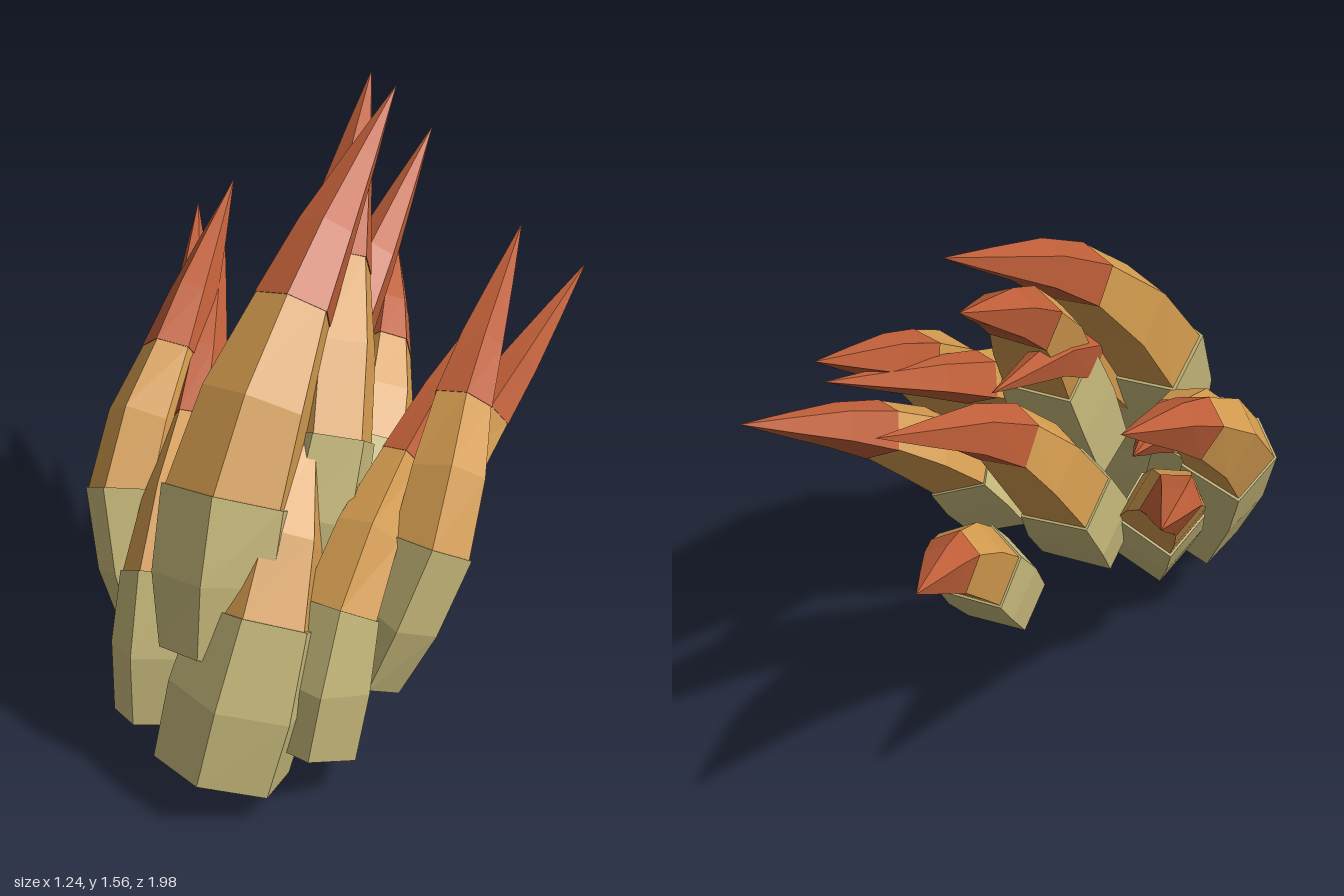
import * as THREE from 'three';

const mat = (name, color) => Object.assign(new THREE.MeshStandardMaterial({ color }), { name });

// Five-sided section with a ridge on the outer side: [across, outward]
const SECTION = [[0.5, 0.2], [0, 0.5], [-0.5, 0.2], [-0.44, -0.5], [0.44, -0.5]];

// Each spike: base, lower joint, upper joint and tip; widths and depths at the first three
const CENTRE = [
  { name: 'crestSpike', pts: [[-0.06, 0.36, 0.7], [-0.07, 0.76, 0.53], [-0.01, 1.17, 0.16], [0.065, 1.545, -0.54]], w: [0.29, 0.35, 0.21], d: [0.27, 0.28, 0.17] },
  { name: 'secondSpike', pts: [[0.07, 0.44, 0.41], [0.11, 0.82, 0.24], [0.02, 1.17, -0.12], [-0.065, 1.5, -0.71]], w: [0.27, 0.25, 0.19], d: [0.25, 0.25, 0.16] },
  { name: 'thirdSpike', pts: [[-0.1, 0.38, 0.06], [-0.1, 0.62, -0.1], [-0.01, 0.89, -0.3], [0.06, 1.23, -0.945]], w: [0.26, 0.24, 0.17], d: [0.24, 0.24, 0.17] },
  { name: 'rearSpike', pts: [[0.06, 0.25, -0.17], [0.07, 0.45, -0.33], [0.03, 0.64, -0.59], [-0.07, 0.82, -1]], w: [0.22, 0.22, 0.14], d: [0.22, 0.22, 0.16] },
  { name: 'frontSpike', pts: [[0, 0.055, 0.83], [0.06, 0.48, 0.67], [0.05, 0.81, 0.33], [-0.1, 1.21, -0.6]], w: [0.36, 0.32, 0.14], d: [0.34, 0.27, 0.15] },
];
const SIDES = [
  { name: 'frontSideSpike', pts: [[0.22, 0.1, 0.69], [0.26, 0.48, 0.56], [0.31, 0.74, 0.17], [0.46, 1.05, -0.5]], w: [0.27, 0.22, 0.12], d: [0.29, 0.23, 0.15] },
  { name: 'middleSideSpike', pts: [[0.325, 0.195, 0.455], [0.45, 0.58, 0.33], [0.44, 0.86, 0.01], [0.45, 1.15, -0.56]], w: [0.18, 0.23, 0.16], d: [0.24, 0.25, 0.16] },
  { name: 'rearSideSpike', pts: [[0.25, 0.3, 0.21], [0.33, 0.5, 0.08], [0.46, 0.72, -0.18], [0.62, 0.98, -0.69]], w: [0.23, 0.22, 0.14], d: [0.24, 0.22, 0.16] },
];

// One faceted block of a spike, skinned over rings along the curve
function blockGeometry(curve, index, width, depth, scales, ref) {
  const rings = scales.map((scale, i) => {
    const f = i / (scales.length - 1), t = (index + f) / 3;
    const centre = curve.getPoint(t), tangent = curve.getTangent(t);
    const out = ref.clone().addScaledVector(tangent, -ref.dot(tangent)).normalize();
    const across = out.clone().cross(tangent);
    const w = THREE.MathUtils.lerp(width[index], width[index + 1] ?? 0, f) * scale;
    const d = THREE.MathUtils.lerp(depth[index], depth[index + 1] ?? 0, f) * scale;
    return SECTION.map(([a, o]) => centre.clone().addScaledVector(across, a * w).addScaledVector(out, o * d));
  });
  const tris = [], n = SECTION.length, last = rings[rings.length - 1];
  for (let i = 0; i < rings.length - 1; i++) {
    const lo = rings[i], hi = rings[i + 1];
    for (let j = 0; j < n; j++) {
      const k = (j + 1) % n;
      tris.push(lo[j], lo[k], hi[k]);
      if (hi[j].distanceTo(hi[k]) > 1e-5) tris.push(lo[j], hi[k], hi[j]);
    }
  }
  // Flat end caps
  for (let j = 1; j < n - 1; j++) {
    tris.push(rings[0][0], rings[0][j + 1], rings[0][j]);
    if (index < 2) tris.push(last[0], last[j], last[j + 1]);
  }
  const geometry = new THREE.BufferGeometry().setFromPoints(tris);
  geometry.computeVertexNormals();
  return geometry;
}

export function createModel() {
  const model = new THREE.Group();
  model.name = 'spikedCrest';
  const parts = [
    { name: 'base', material: mat('olive', 0xc6b87a), scales: [0.96, 1.08, 1.02] },
    { name: 'middle', material: mat('orange', 0xd29a4e), scales: [0.96, 1.06, 1] },
    { name: 'tip', material: mat('rust red', 0xbe5e38), scales: [1.03, 1.15, 1.2, 1] },
  ];

  function addSpike({ name, pts, w, d }, side, label) {
    const group = new THREE.Group();
    group.name = label + name;
    const mirror = side || 1;
    const curve = new THREE.CatmullRomCurve3(pts.map(([x, y, z]) => new THREE.Vector3(x * mirror, y, z)));
    const ref = new THREE.Vector3(side * 0.3, 0.6, 0.8).normalize();
    parts.forEach((part, i) => {
      const mesh = new THREE.Mesh(blockGeometry(curve, i, w, d, part.scales, ref), part.material);
      mesh.name = part.name;
      group.add(mesh);
    });
    model.add(group);
  }

  CENTRE.forEach((spike) => addSpike(spike, 0, ''));
  SIDES.forEach((spike) => {
    addSpike(spike, 1, 'left ');
    addSpike(spike, -1, 'right ');
  });
  return model;
}
